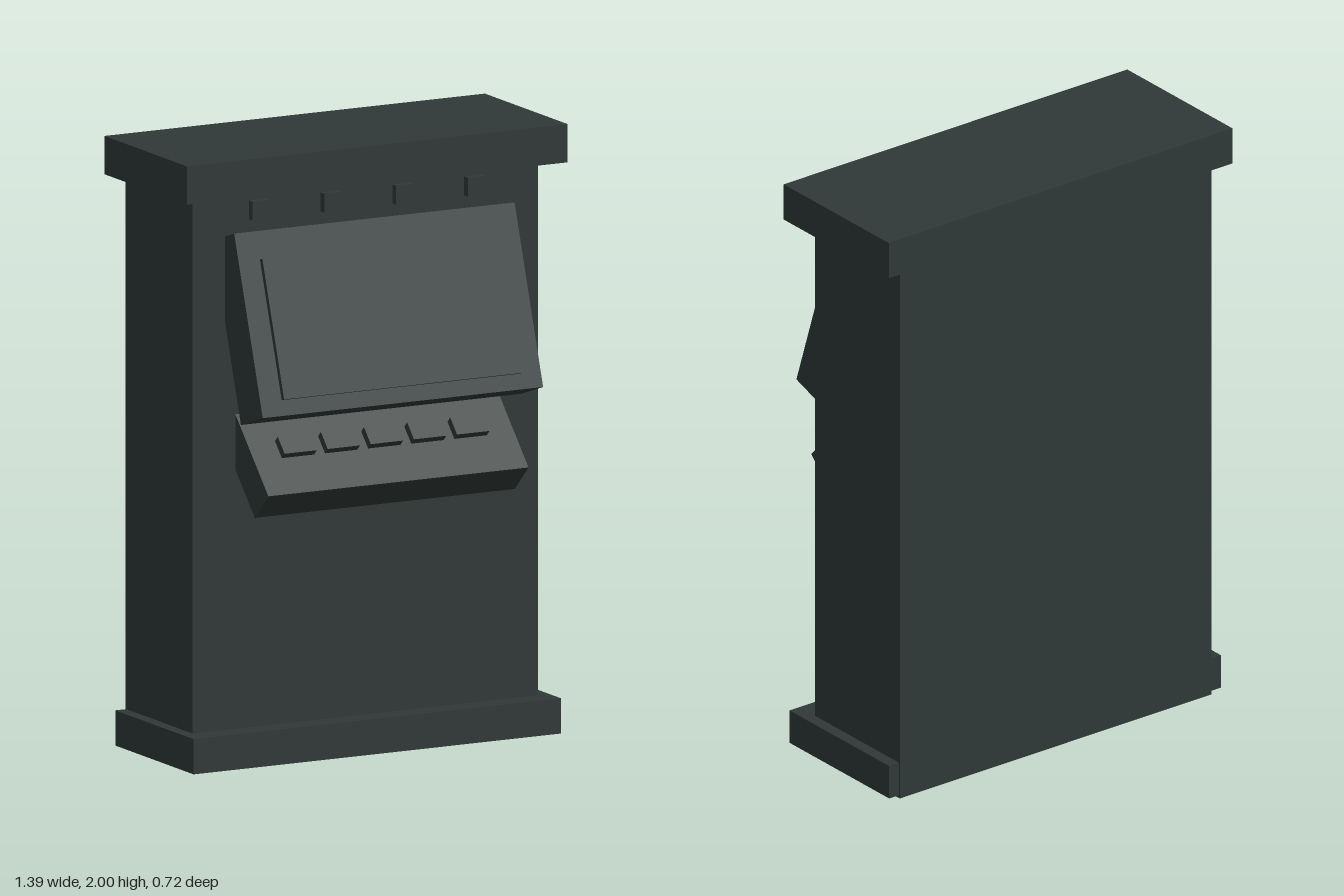
import * as THREE from 'three';

export function createModel() {
  const model = new THREE.Group();
  model.name = 'kiosk';
  const casing = new THREE.MeshStandardMaterial({ color: 0x303938 });
  casing.name = 'dark slate';

  // Box with its size and centre, added to a parent
  function box(parent, name, size, centre) {
    const mesh = new THREE.Mesh(new THREE.BoxGeometry(...size), casing);
    mesh.name = name;
    mesh.position.set(...centre);
    parent.add(mesh);
    return mesh;
  }

  // Group leaning back, with its front facing forward and up
  function tilted(name, y, z, angle) {
    const group = new THREE.Group();
    group.name = name;
    group.position.set(0, y, z);
    group.rotation.x = -angle;
    model.add(group);
    return group;
  }

  // Cabinet with plinth and cap
  box(model, 'cabinet', [1.262, 1.89, 0.445], [0, 0.945, -0.1125]);
  box(model, 'plinth', [1.342, 0.115, 0.521], [0, 0.068, -0.0705]);
  box(model, 'cap', [1.39, 0.125, 0.55], [0, 1.9375, -0.085]);

  // Row of small lamps under the cap
  for (let i = 0; i < 4; i++) {
    box(model, 'lamp', [0.064, 0.062, 0.05], [(i - 1.5) * 0.262, 1.817, 0.11]);
  }

  // Leaning display housing with a raised screen
  const display = tilted('display', 1.45, 0.1925, 0.322);
  box(display, 'displayHousing', [1.024, 0.6, 0.153], [0, 0, 0]);
  box(display, 'screen', [0.868, 0.457, 0.04], [0, -0.0205, 0.0735]);

  // Sloping control panel; the origin is the middle of its lower front edge
  const panel = tilted('controlPanel', 0.925, 0.33, 0.765);
  box(panel, 'panelBody', [0.95, 0.38, 0.125], [0, 0.19, -0.0625]);
  for (let i = 0; i < 5; i++) {
    box(panel, 'button', [0.118, 0.066, 0.045], [(i - 2) * 0.1575, 0.169, 0.0025]);
  }
  // Mounting rail beneath the panel
  box(panel, 'mountingRail', [0.75, 0.08, 0.05], [0, 0.142, -0.13]);

  return model;
}
